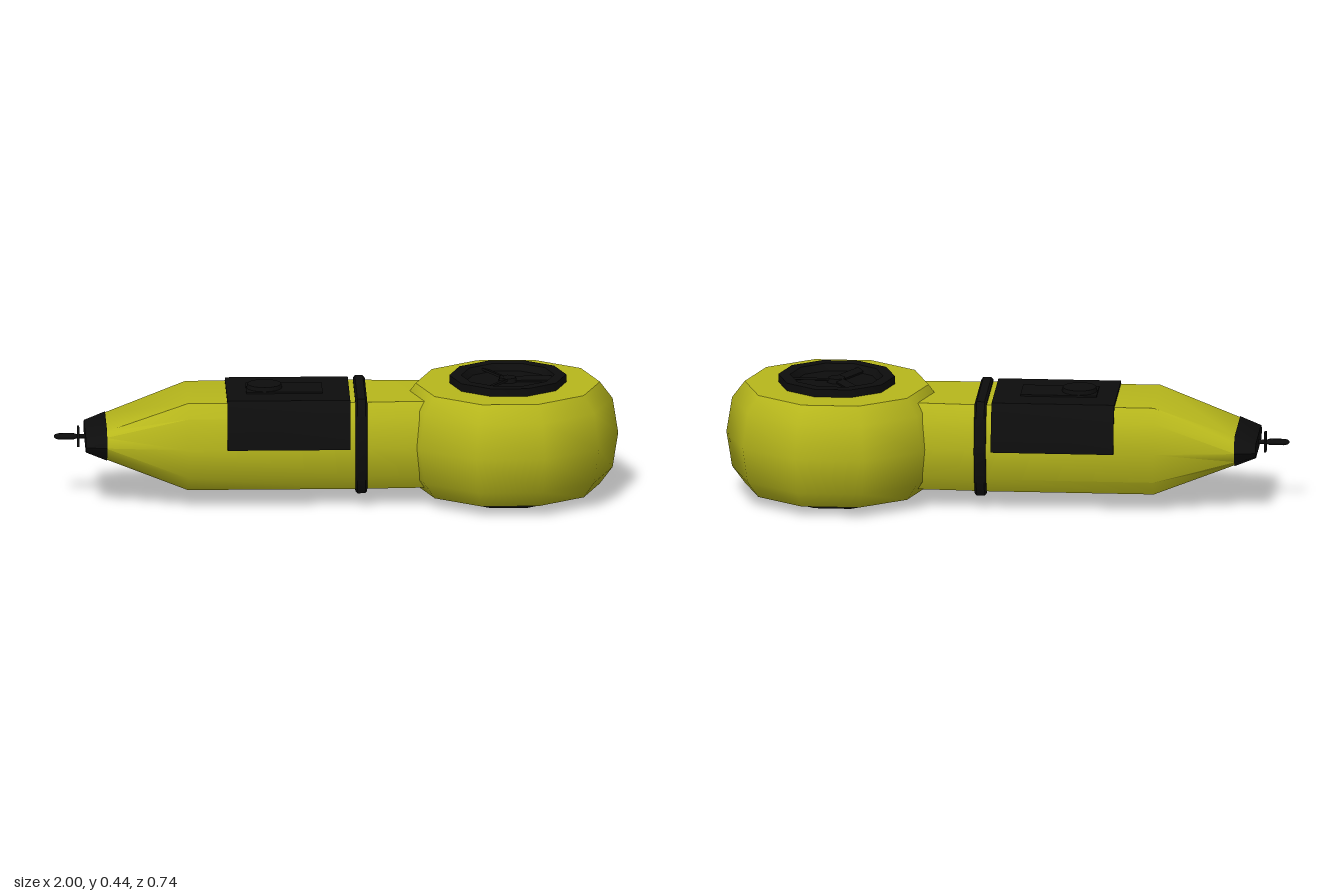
import * as THREE from 'three';
import { toCreasedNormals } from 'three/addons/utils/BufferGeometryUtils.js';

const yellow = new THREE.MeshStandardMaterial({ color: 0xb8b81c });
const black = new THREE.MeshStandardMaterial({ color: 0x0d0d0d });
const MID = 0.222; // height of the long axis

// Quarter outline of the barrel, as fractions of half width (z) and half height (y)
const quarter = [[1, 0], [0.9, 0.68], [0.76, 1]];
const upper = [...quarter, ...quarter.slice().reverse().map(([z, y]) => [-z, y])]
  .filter((p, i, a) => i === 0 || p[0] !== a[i - 1][0]);
const full = [...upper, ...upper.slice(1, -1).reverse().map(([z, y]) => [z, -y])];

// Closed loft along x through sections [x, halfHeight, halfWidth]
function loft(outline, sections, crease = 0.75) {
  const n = outline.length;
  const pos = [];
  const index = [];
  for (const [x, h, w] of sections) for (const [z, y] of outline) pos.push(x, y * h, z * w);
  for (let s = 0; s < sections.length - 1; s++) {
    for (let i = 0; i < n; i++) {
      const a = s * n + i, b = s * n + (i + 1) % n;
      index.push(a, a + n, b, b, a + n, b + n);
    }
  }
  const last = (sections.length - 1) * n;
  for (let i = 1; i < n - 1; i++) {
    index.push(0, i, i + 1);
    index.push(last, last + i + 1, last + i);
  }
  const g = new THREE.BufferGeometry();
  g.setAttribute('position', new THREE.Float32BufferAttribute(pos, 3));
  g.setIndex(index);
  return toCreasedNormals(g, crease);
}

// Ten-sided turned part with a corner pointing along +x
function turned(points) {
  const g = new THREE.LatheGeometry(points.map(([r, y]) => new THREE.Vector2(r, y)), 10, Math.PI / 2);
  return toCreasedNormals(g.toNonIndexed(), 0.75);
}

function add(parent, name, geometry, material, x = 0, y = 0, z = 0) {
  const mesh = new THREE.Mesh(geometry, material);
  mesh.name = name;
  mesh.position.set(x, y, z);
  parent.add(mesh);
  return mesh;
}

export function createModel() {
  const model = new THREE.Group();
  model.name = 'thruster';

  // Barrel with a flattened nose, and its bands
  add(model, 'barrel', loft(full, [
    [-0.82, 0.05, 0.175], [-0.53, 0.158, 0.209], [0.06, 0.158, 0.209], [0.3, 0.158, 0.195], [0.45, 0.15, 0.19],
  ]), yellow, 0, MID);
  add(model, 'noseCap', loft(full, [[-0.89, 0.027, 0.163], [-0.815, 0.055, 0.177]]), black, 0, MID);
  add(model, 'band', loft(full, [
    [0.063, 0.165, 0.214], [0.07, 0.172, 0.22], [0.098, 0.172, 0.22], [0.105, 0.165, 0.214],
  ]), black, 0, MID);

  // Saddle panel over the upper half, with hatch and button
  add(model, 'saddlePanel', loft(upper, [[-0.39, 0.168, 0.219], [0.045, 0.168, 0.219]]), black, 0, MID);
  add(model, 'hatch', new THREE.BoxGeometry(0.27, 0.012, 0.135), black, -0.185, 0.39);
  add(model, 'button', new THREE.CylinderGeometry(0.06, 0.065, 0.025, 16), black, -0.255, 0.398);

  // Nose fitting: stem, collar and flat rounded plug
  const fitting = new THREE.Group();
  fitting.name = 'noseFitting';
  fitting.position.set(-0.88, MID, 0);
  model.add(fitting);
  add(fitting, 'stem', new THREE.CylinderGeometry(0.008, 0.008, 0.08, 8).rotateZ(Math.PI / 2), black, -0.03);
  add(fitting, 'collar', new THREE.BoxGeometry(0.008, 0.07, 0.036), black, -0.034);
  const plug = new THREE.CapsuleGeometry(0.021, 0.044, 4, 10).rotateZ(Math.PI / 2).scale(1, 0.5, 1);
  add(fitting, 'plug', plug, black, -0.077);

  // Fan housing
  const head = new THREE.Group();
  head.name = 'fanHead';
  head.position.set(0.607, MID, 0);
  model.add(head);
  add(head, 'housing', turned([
    [0, -0.186], [0.326, -0.186], [0.371, -0.126], [0.391, 0], [0.371, 0.126], [0.326, 0.186], [0, 0.186],
  ]), yellow);

  // Recessed vent on the top and the bottom
  for (const side of [1, -1]) {
    const vent = new THREE.Group();
    vent.name = side > 0 ? 'topVent' : 'bottomVent';
    vent.position.y = side * 0.18;
    if (side < 0) vent.rotation.x = Math.PI;
    head.add(vent);
    const rim = side > 0 ? 0.034 : 0.042;
    add(vent, 'ventRing', turned([
      [0.207, -0.02], [0.207, rim], [0.165, rim], [0.15, 0.01], [0, 0.01],
    ]), black);
    add(vent, 'hub', new THREE.CylinderGeometry(0.03, 0.035, 0.016, 10), black, 0, 0.018);
    for (let i = 0; i < 3; i++) {
      const blade = add(vent, 'blade' + (i + 1),
        new THREE.BoxGeometry(0.15, 0.008, 0.03).rotateX(0.3).translate(0.08, 0, 0), black, 0, 0.018);
      blade.rotation.y = i * Math.PI * 2 / 3;
    }
  }
  return model;
}
